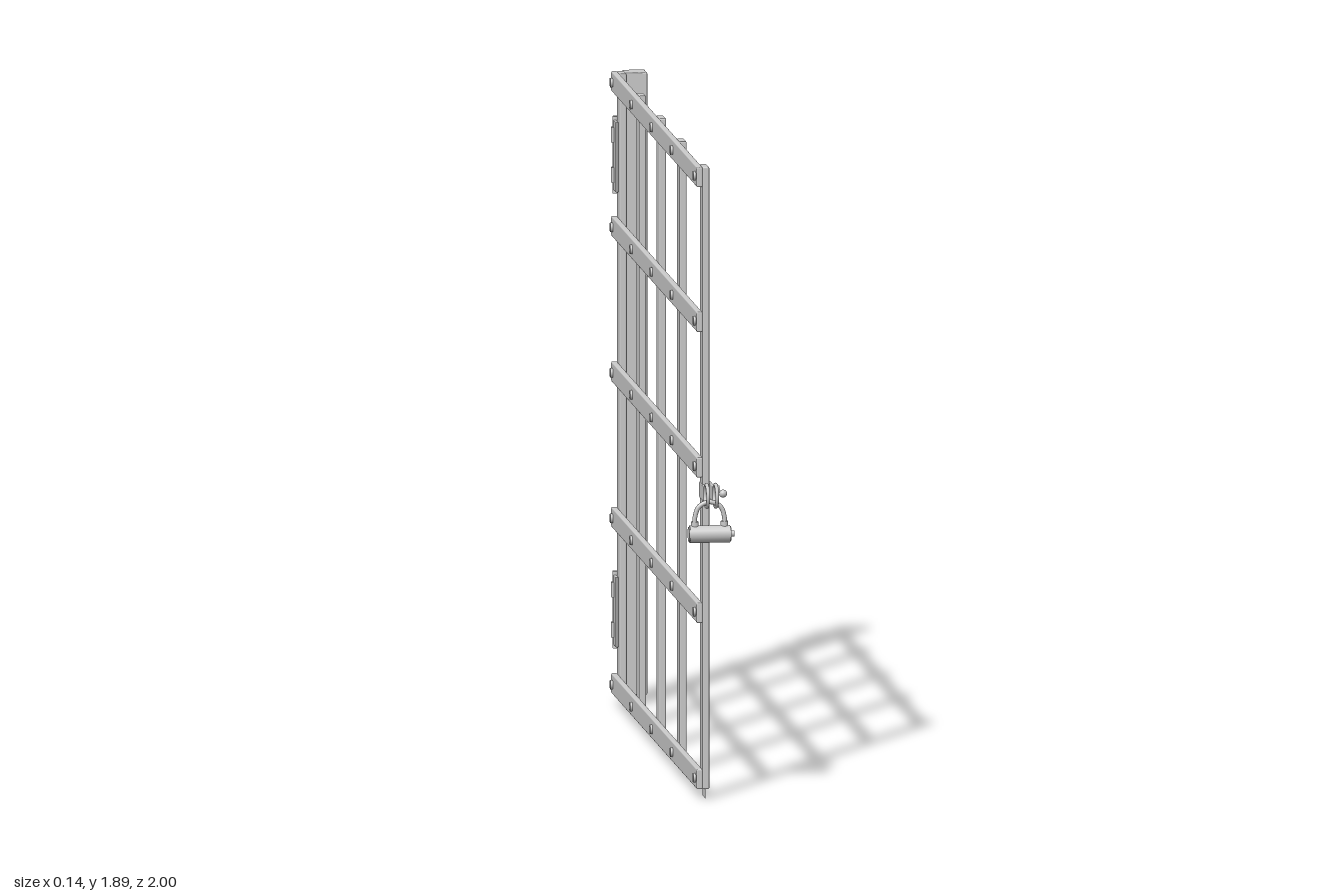
import * as THREE from 'three';
import { RoundedBoxGeometry } from 'three/addons/geometries/RoundedBoxGeometry.js';

const steel = new THREE.MeshStandardMaterial({ color: 0xcccccc });
const sheet = new THREE.MeshStandardMaterial({ color: 0xcccccc, side: THREE.DoubleSide });

export function createModel() {
  const gate = new THREE.Group();
  gate.name = 'gate';

  const add = (name, geometry, x, y, z, parent = gate, material = steel) => {
    const mesh = new THREE.Mesh(geometry, material);
    mesh.name = name;
    mesh.position.set(x, y, z);
    parent.add(mesh);
    return mesh;
  };
  // Softly rounded bar given by its limits on each axis
  const bar = (name, [x0, x1], [y0, y1], [z0, z1], radius = 0.004, parent = gate) =>
    add(name, new RoundedBoxGeometry(x1 - x0, y1 - y0, z1 - z0, 2, radius),
      (x0 + x1) / 2, (y0 + y1) / 2, (z0 + z1) / 2, parent);
  // Cylinder lying along x
  const rodX = (name, r, length, x, y, z, parent = gate) =>
    add(name, new THREE.CylinderGeometry(r, r, length, 24).rotateZ(Math.PI / 2), x, y, z, parent);

  const uprights = [0.855, 0.36, -0.08, -0.515, -0.938];
  const rails = [0.058, 0.555, 0.99, 1.425, 1.858];

  // Lattice: flat uprights in front of flat rails, riveted at every crossing
  for (const z of uprights) bar('upright', [-0.019, 0.002], [0.028, 1.888], [z - 0.031, z + 0.031]);
  for (const y of rails) {
    bar('rail', [-0.036, -0.018], [y - 0.03, y + 0.03], [-0.968, 0.885]);
    for (const z of uprights) rodX('rivet', 0.014, 0.008, -0.039, y, z);
  }
  add('footPlate', new THREE.PlaneGeometry(0.06, 0.028).rotateY(Math.PI / 2), -0.01, 0.014, 0.855, gate, sheet);

  // Hinge post
  bar('post', [0, 0.066], [0.028, 1.888], [-0.986, -0.922], 0.003);

  // Hinges: an upright pin with two straps bent around the back of the post
  for (const y of [0.275, 1.635]) {
    const hinge = new THREE.Group();
    hinge.name = 'hinge';
    hinge.position.y = y;
    gate.add(hinge);
    add('hingePin', new THREE.CylinderGeometry(0.01, 0.01, 0.23, 16), -0.02, 0, -0.985, hinge);
    bar('hingeLeaf', [-0.027, -0.019], [-0.105, 0.105], [-0.985, -0.93], 0.002, hinge);
    for (const s of [-1, 1]) {
      const strapY = s * 0.06;
      add('hingeKnuckle', new THREE.CylinderGeometry(0.014, 0.014, 0.045, 20), -0.02, strapY, -0.985, hinge);
      bar('hingeStrap', [-0.02, 0.055], [strapY - 0.022, strapY + 0.022], [-0.996, -0.985], 0.003, hinge);
    }
  }

  // Hasps: two parallel tongues ending in rings
  for (const x of [-0.017, 0.01]) {
    const hasp = new THREE.Group();
    hasp.name = 'hasp';
    gate.add(hasp);
    bar('haspTongue', [x - 0.004, x + 0.004], [0.893, 0.939], [0.826, 0.928], 0.002, hasp);
    add('haspRing', new THREE.TorusGeometry(0.033, 0.0055, 10, 32).rotateY(Math.PI / 2), x, 0.917, 0.962, hasp);
  }
  rodX('haspBolt', 0.012, 0.03, 0.022, 0.917, 0.845);
  add('haspStud', new THREE.SphereGeometry(0.012, 16, 12), 0.037, 0.917, 0.925);

  // Padlock hanging through both rings
  const lock = new THREE.Group();
  lock.name = 'padlock';
  lock.position.set(-0.008, 0.803, 0.962);
  gate.add(lock);
  rodX('lockBody', 0.026, 0.12, 0, 0, 0, lock);
  for (const s of [-1, 1]) {
    rodX('lockCap', 0.022, 0.006, s * 0.06, 0, 0, lock);
    add('shackleCollar', new THREE.CylinderGeometry(0.011, 0.011, 0.016, 16), s * 0.044, 0.03, 0, lock);
  }
  rodX('lockKnob', 0.009, 0.012, 0.067, 0, 0, lock);
  const path = new THREE.CatmullRomCurve3([
    [-0.044, 0.015], [-0.044, 0.05], [-0.032, 0.082], [0, 0.096],
    [0.032, 0.082], [0.044, 0.05], [0.044, 0.015],
  ].map(([x, y]) => new THREE.Vector3(x, y, 0)));
  add('shackle', new THREE.TubeGeometry(path, 36, 0.007, 10), 0, 0, 0, lock);

  return gate;
}
